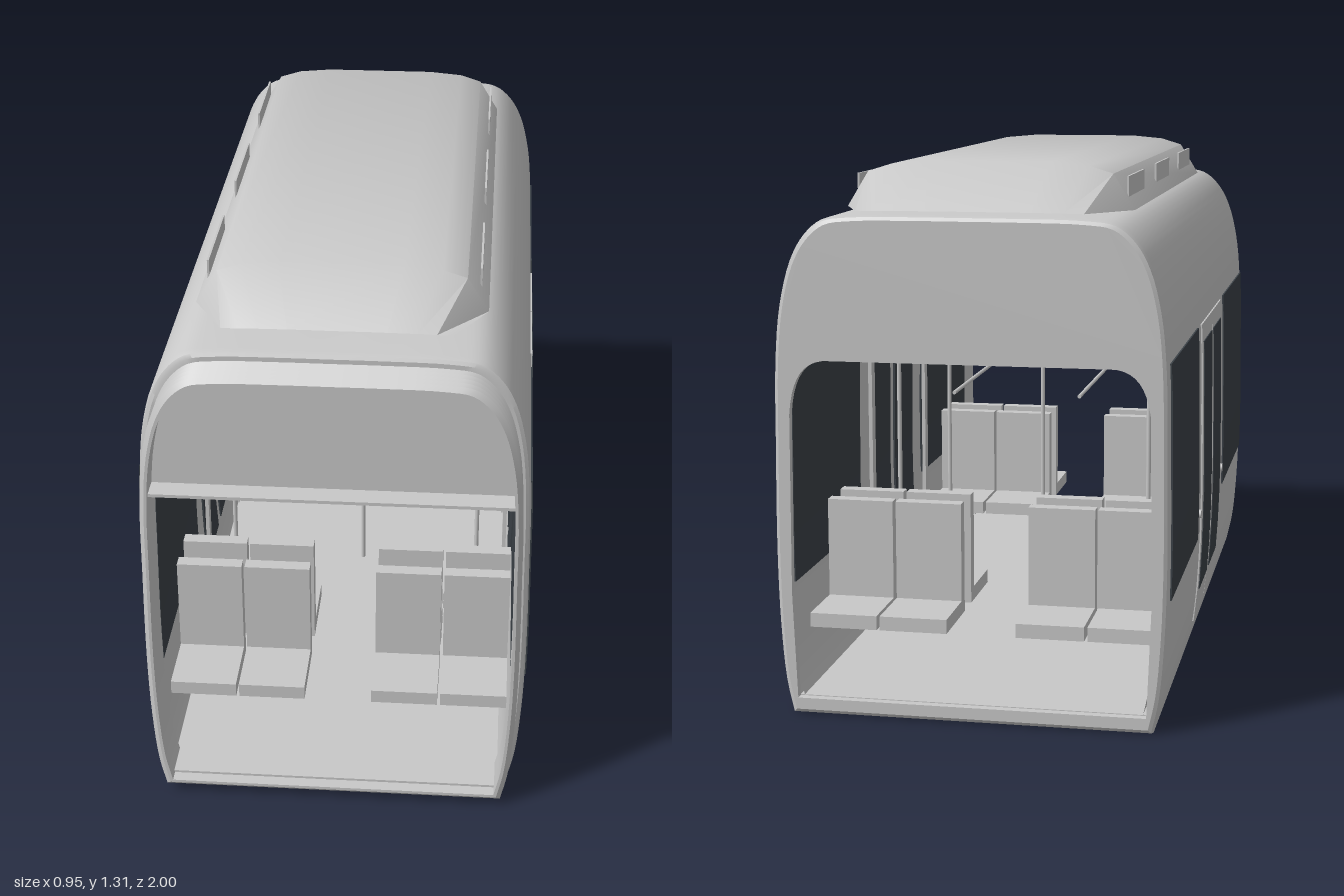
import * as THREE from 'three';
import { toCreasedNormals } from 'three/addons/utils/BufferGeometryUtils.js';

const grey = new THREE.MeshStandardMaterial({ color: 0xc8c8c8, side: THREE.DoubleSide });
grey.name = 'lightGrey';
const glass = new THREE.MeshStandardMaterial({ color: 0x3b4147 });
glass.name = 'darkGlass';

const MID = -0.05; // z of the body's middle

// Half cross-section of the body, from sill to roof centre
const half = new THREE.CatmullRomCurve3([
  [0.435, 0], [0.452, 0.08], [0.464, 0.22], [0.469, 0.4], [0.467, 0.65], [0.463, 0.86],
  [0.45, 0.99], [0.424, 1.09], [0.39, 1.15], [0.345, 1.187], [0.28, 1.197], [0.12, 1.2], [0, 1.2],
].map(([x, y]) => new THREE.Vector3(x, y, 0))).getPoints(48);

// Full closed section, counter-clockwise seen from +z, pulled inwards by d
function section(d) {
  const right = [new THREE.Vector2(0, 0), ...half.map(p => new THREE.Vector2(p.x, p.y))];
  const left = right.slice(0, -1).reverse().map(p => new THREE.Vector2(-p.x, p.y));
  return [...right, ...left].map(p =>
    new THREE.Vector2(p.x * (1 - d / 0.47), 0.6 + (p.y - 0.6) * (1 - d / 0.6)));
}

// Half width of the side wall at height y
function sideX(y) {
  const i = Math.max(1, half.findIndex(p => p.y >= y));
  const a = half[i - 1], b = half[i];
  return a.x + (b.x - a.x) * (y - a.y) / (b.y - a.y);
}

// Skin through a list of rings of equal length
function loft(rings, crease = 0.5) {
  const n = rings[0].length, pos = [], index = [];
  rings.forEach(r => r.forEach(p => pos.push(p.x, p.y, p.z)));
  for (let i = 0; i < rings.length - 1; i++) {
    for (let j = 0; j < n - 1; j++) {
      const a = i * n + j, b = a + 1, c = b + n, d = a + n;
      index.push(a, b, c, a, c, d);
    }
  }
  const g = new THREE.BufferGeometry();
  g.setAttribute('position', new THREE.Float32BufferAttribute(pos, 3));
  g.setIndex(index);
  return toCreasedNormals(g, crease);
}
const bodyLoft = list => loft(list.map(([z, d]) => section(d).map(p => new THREE.Vector3(p.x, p.y, z))));

export function createModel() {
  const model = new THREE.Group();
  model.name = 'tramCarSection';

  const add = (name, geo, mat = grey, parent = model) => {
    const m = new THREE.Mesh(geo, mat);
    m.name = name;
    parent.add(m);
    return m;
  };
  const box = (name, x0, x1, y0, y1, z0, z1, mat, parent) => {
    const g = new THREE.BoxGeometry(Math.abs(x1 - x0), y1 - y0, Math.abs(z1 - z0));
    return add(name, g.translate((x0 + x1) / 2, (y0 + y1) / 2, (z0 + z1) / 2), mat, parent);
  };
  const pole = (name, x, z, top) => add(name, new THREE.CylinderGeometry(0.006, 0.006, top - 0.04, 12))
    .position.set(x, (top + 0.04) / 2, z);
  // Thin plate that follows the curved side wall
  const sidePlate = (name, s, z0, z1, y0, y1, out, mat) => {
    const g = new THREE.BoxGeometry(0.006, y1 - y0, z1 - z0, 1, 8, 1);
    g.translate(0, (y0 + y1) / 2, (z0 + z1) / 2);
    const p = g.attributes.position;
    for (let i = 0; i < p.count; i++) p.setX(i, p.getX(i) + s * (sideX(p.getY(i)) + out));
    g.computeVertexNormals();
    return add(name, g, mat);
  };

  // Body shell with softened ends, folded back at the front to form the inner wall
  add('bodyShell', bodyLoft([[-1, 0.012], [-0.995, 0.004], [-0.98, 0], [0.88, 0],
    [0.895, 0.004], [0.9, 0.012], [0.9, 0.03], [-0.98, 0.03]]));

  // Folded gangway bellows
  const folds = [];
  for (let i = 0; i <= 12; i++) folds.push([0.88 + i * 0.01, i % 2 ? 0.018 : 0.029]);
  add('gangwayBellows', bodyLoft([...folds, [1, 0.036], [0.88, 0.036]]));

  // Rear end wall with a round-cornered opening
  const rear = new THREE.Shape(section(0.012));
  const hole = new THREE.Path();
  hole.moveTo(-0.42, 0.04);
  hole.lineTo(-0.43, 0.3);
  hole.lineTo(-0.427, 0.73);
  hole.bezierCurveTo(-0.42, 0.82, -0.39, 0.86, -0.33, 0.86);
  hole.lineTo(0.33, 0.86);
  hole.bezierCurveTo(0.39, 0.86, 0.42, 0.82, 0.427, 0.73);
  hole.lineTo(0.43, 0.3);
  hole.lineTo(0.42, 0.04);
  hole.closePath();
  rear.holes.push(hole);
  add('rearEndWall', new THREE.ExtrudeGeometry(rear, { depth: 0.02, bevelEnabled: false, curveSegments: 10 })
    .translate(0, 0, -1));

  // Front bulkhead above the passage
  const upper = section(0.03).filter(p => p.y > 0.87);
  upper.push(new THREE.Vector2(-0.435, 0.86), new THREE.Vector2(0.435, 0.86));
  add('frontBulkhead', new THREE.ExtrudeGeometry(new THREE.Shape(upper), { depth: 0.02, bevelEnabled: false })
    .translate(0, 0, 0.91));

  box('floor', -0.42, 0.42, 0.031, 0.042, -0.98, 0.97);
  box('ceiling', -0.432, 0.432, 0.856, 0.864, -0.98, 0.985);

  for (const s of [1, -1]) {
    // Windows, outside and inside
    for (const [z0, z1] of [[0.29, 0.87], [-0.96, -0.38]]) {
      sidePlate('window', s, z0, z1, 0.315, 0.87, 0.001, glass);
      sidePlate('windowInside', s, z0, z1, 0.315, 0.855, -0.032, glass);
    }

    // Double sliding door
    for (const [z0, z1, g0, g1] of [[-0.042, 0.21, -0.02, 0.18], [-0.3, -0.048, -0.27, -0.07]]) {
      sidePlate('doorLeaf', s, z0, z1, 0.07, 0.868, 0.001, grey);
      sidePlate('doorGlass', s, g0, g1, 0.15, 0.82, 0.003, glass);
      sidePlate('doorGlassInside', s, g0, g1, 0.15, 0.82, -0.032, glass);
    }
    for (const z of [0.235, -0.345]) {
      const b = add('doorButton', new THREE.CylinderGeometry(0.011, 0.011, 0.012, 16));
      b.rotation.z = Math.PI / 2;
      b.position.set(s * 0.47, 0.375, z);
    }

    // Roof vents
    for (const z of [0.435, -0.07, -0.582])
      box('roofVent', s * 0.327, s * 0.332, 1.2, 1.277, z - 0.138, z + 0.138);

    // Hand rail, door poles and posts beside the doors
    const rail = add('handRail', new THREE.CylinderGeometry(0.005, 0.005, 0.75, 10));
    rail.rotation.x = Math.PI / 2;
    rail.position.set(s * 0.165, 0.69, MID);
    for (const z of [0.24, -0.34]) {
      pole('doorPole', s * 0.335, z, 0.84);
      box('doorPost', s * 0.406, s * 0.416, 0.04, 0.85, z - 0.015, z + 0.015);
    }

    // Seats in back-to-back pairs at each end
    for (const e of [1, -1]) {
      for (const x0 of [0.085, 0.26]) {
        for (const [back, dir] of [[0.65, 1], [0.575, -1]]) {
          const seat = new THREE.Group();
          seat.name = 'seat';
          model.add(seat);
          const z = d => e * (back + dir * d) - 0.02;
          box('seatBack', s * x0, s * (x0 + 0.167), 0.21, 0.46, z(0), z(0.035), grey, seat);
          box('seatCushion', s * x0, s * (x0 + 0.167), 0.177, 0.212, z(0), z(0.2), grey, seat);
        }
      }
    }
  }

  pole('centrePole', 0, MID, 0.86);

  // Hanging display, readable from both ends
  box('displayCase', -0.12, 0.12, 0.744, 0.826, MID - 0.015, MID + 0.015);
  for (const e of [1, -1])
    box('displayScreen', -0.11, 0.11, 0.752, 0.82, MID + e * 0.015, MID + e * 0.018, glass);

  // Roof equipment cover: an arch that slopes and narrows to nothing at both ends
  const arch = [[0.35, 0], [0.298, 0.085], [0.24, 0.103], [0.15, 0.111]];
  const archRing = (z, w, h) => [...arch, ...arch.map(([x, y]) => [-x, y]).reverse()]
    .map(([x, y]) => new THREE.Vector3(x * w, 1.199 + y * h, z));
  add('roofCover', loft([
    archRing(-0.88, 0.84, 0), archRing(-0.745, 1, 1), archRing(0.645, 1, 1), archRing(0.78, 0.78, 0),
  ], 0.8));

  return model;
}
